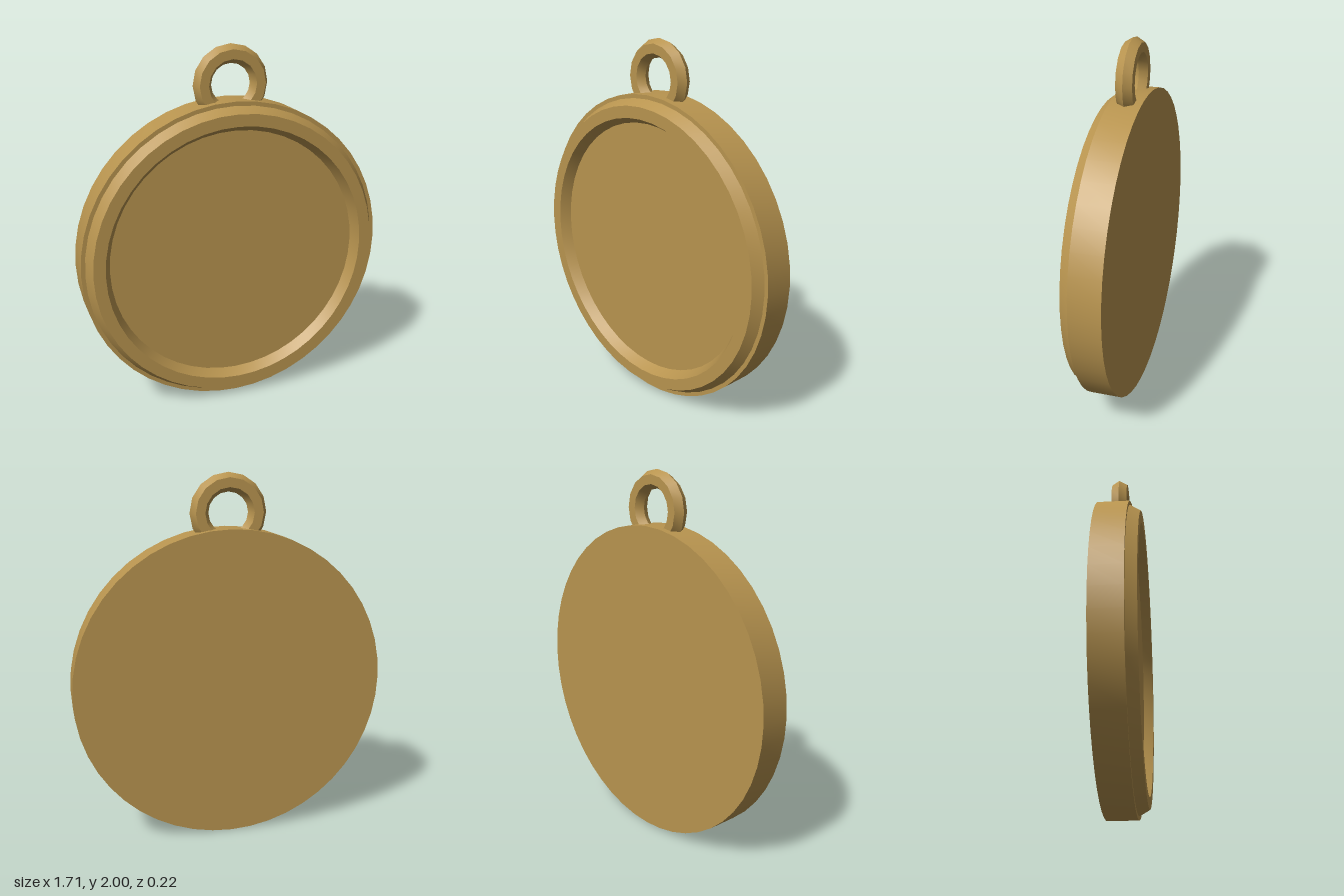
import * as THREE from 'three';
import { toCreasedNormals } from 'three/addons/utils/BufferGeometryUtils.js';

const CENTER_Y = 0.857;
const BODY_Z = -0.028;
const CREASE = THREE.MathUtils.degToRad(40);

export function createModel() {
  const group = new THREE.Group();
  const brass = new THREE.MeshStandardMaterial({ color: 0xb8944f });
  brass.name = 'brass';

  function add(name, geometry, y, z) {
    const mesh = new THREE.Mesh(toCreasedNormals(geometry, CREASE), brass);
    mesh.name = name;
    mesh.position.set(0, y, z);
    group.add(mesh);
  }

  // round case, flat on both faces
  add('case', new THREE.CylinderGeometry(0.857, 0.857, 0.168, 48).rotateX(Math.PI / 2), CENTER_Y, BODY_Z);

  // raised hexagonal-section rim, half sunk into the front face
  add('rim', new THREE.TorusGeometry(0.77, 0.065, 6, 48), CENTER_Y, 0.056);

  // hanging ring, its lower part sunk into the case
  add('hangingRing', new THREE.TorusGeometry(0.157, 0.05, 6, 16), 1.793, BODY_Z);

  return group;
}
